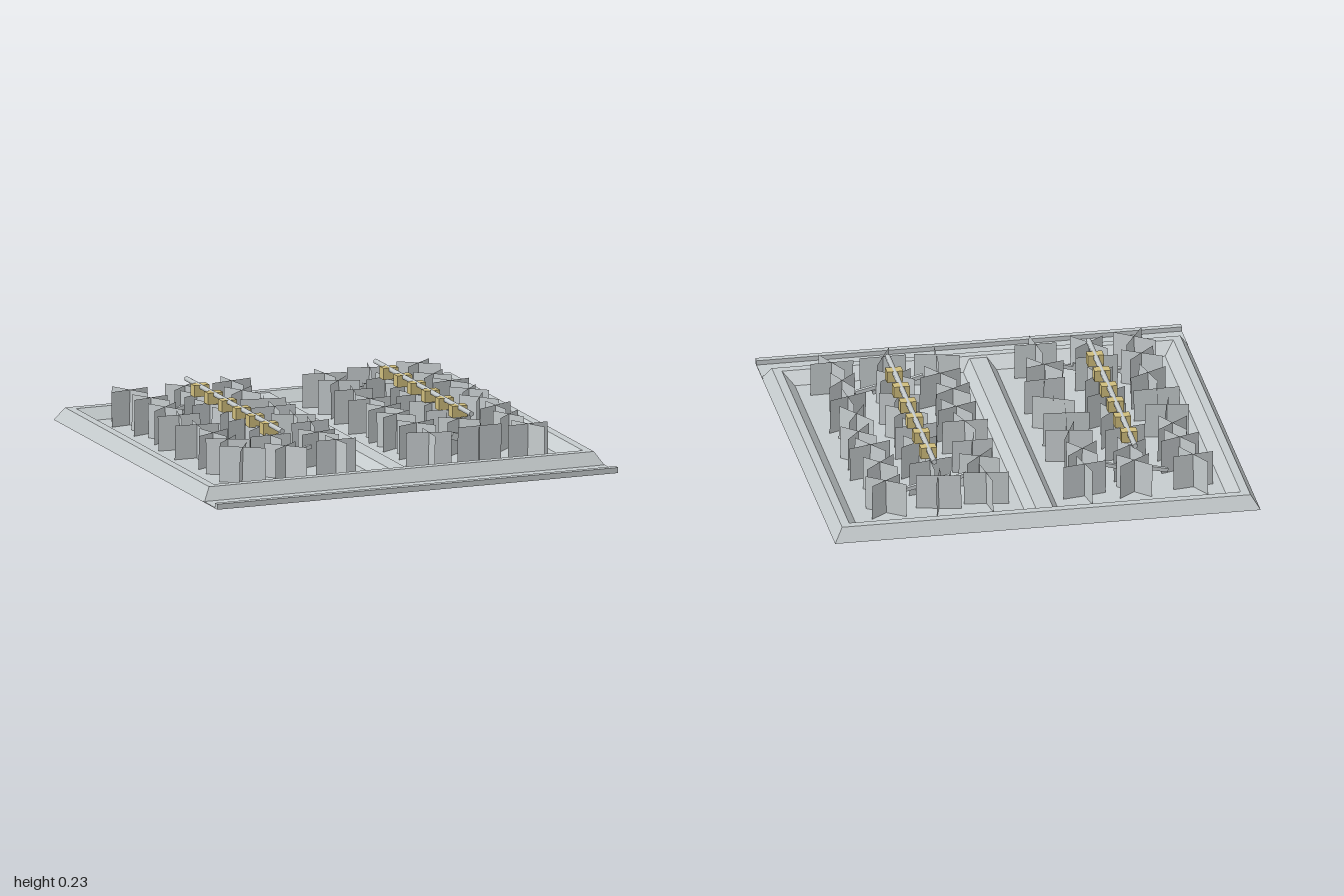
import * as THREE from 'three';

const stone = new THREE.MeshStandardMaterial({ color: 0xc6ccce });
stone.name = 'paleGrey';
const foliage = new THREE.MeshStandardMaterial({ color: 0xc6ccce, side: THREE.DoubleSide });
foliage.name = 'foliageGrey';
const straw = new THREE.MeshStandardMaterial({ color: 0xcfbd7c });
straw.name = 'straw';

// Joins rectangular rings [x0, x1, z0, z1, y] into a closed flat-faced solid
function ringSolid(rings) {
  const loops = rings.map(([x0, x1, z0, z1, y]) =>
    [[x0, y, z1], [x1, y, z1], [x1, y, z0], [x0, y, z0]]);
  const pos = [];
  const quad = (a, b, c, d) => pos.push(...a, ...b, ...c, ...a, ...c, ...d);
  for (let r = 0; r < loops.length - 1; r++) {
    const lo = loops[r], hi = loops[r + 1];
    for (let i = 0; i < 4; i++) {
      const j = (i + 1) % 4;
      quad(lo[i], lo[j], hi[j], hi[i]);
    }
  }
  quad(...loops[loops.length - 1]);
  quad(...loops[0].slice().reverse());
  const geo = new THREE.BufferGeometry();
  geo.setAttribute('position', new THREE.Float32BufferAttribute(pos, 3));
  geo.computeVertexNormals();
  return geo;
}

function add(parent, name, geo, material, x = 0, y = 0, z = 0) {
  const mesh = new THREE.Mesh(geo, material);
  mesh.name = name;
  mesh.position.set(x, y, z);
  parent.add(mesh);
  return mesh;
}

function seeded(seed) {
  return () => {
    seed = (seed * 16807) % 2147483647;
    return seed / 2147483647;
  };
}

// Square bar running between two points
function bar(parent, name, from, to, size) {
  const a = new THREE.Vector3(...from), b = new THREE.Vector3(...to);
  const mesh = add(parent, name, new THREE.BoxGeometry(size, size, a.distanceTo(b)), stone);
  mesh.position.copy(a).add(b).multiplyScalar(0.5);
  mesh.lookAt(b);
  return mesh;
}

export function createModel() {
  const model = new THREE.Group();
  model.name = 'plantingBeds';
  const rand = seeded(4711);

  // Sloped tray with a sunken floor
  add(model, 'tray', ringSolid([
    [-1, 1, -1, 0.84, 0.03],
    [-0.96, 0.96, -0.96, 0.8, 0.093],
    [-0.92, 0.92, -0.92, 0.76, 0.093],
    [-0.87, 0.87, -0.87, 0.7, 0.042],
  ]), stone);

  // Ridge between the two beds
  add(model, 'divider', ringSolid([
    [-0.08, 0.08, -0.91, 0.745, 0.04],
    [-0.04, 0.04, -0.91, 0.745, 0.088],
  ]), stone);

  // Front path and kerb
  add(model, 'path', new THREE.BoxGeometry(2, 0.004, 0.17), stone, 0, 0.032, 0.905);
  add(model, 'kerb', new THREE.BoxGeometry(2, 0.026, 0.03), stone, 0, 0.043, 0.985);

  for (const side of [-1, 1]) {
    const bed = new THREE.Group();
    bed.name = side < 0 ? 'rightBed' : 'leftBed';
    bed.position.x = side * 0.472;
    model.add(bed);

    // Plants made of crossed upright sheets
    for (let col = -1; col <= 1; col++) {
      for (let row = 0; row < 8; row++) {
        const plant = new THREE.Group();
        plant.name = 'plant';
        plant.position.set(col * 0.245 + (rand() - 0.5) * 0.04, 0.036, -0.725 + row * 0.186 + (rand() - 0.5) * 0.03);
        plant.rotation.y = rand() * Math.PI;
        bed.add(plant);
        const height = 0.165 + rand() * 0.012;
        for (let k = 0; k < 2; k++) {
          const sheet = add(plant, 'leafSheet', new THREE.PlaneGeometry(0.19 + rand() * 0.03, height), foliage, 0, height / 2, 0);
          sheet.rotation.y = k * (1.1 + rand() * 0.8);
          sheet.rotation.x = (rand() - 0.5) * 0.06;
        }
      }
    }

    // Rail on two splayed trestles
    const rack = new THREE.Group();
    rack.name = 'rack';
    bed.add(rack);
    const rail = add(rack, 'rail', new THREE.CylinderGeometry(0.013, 0.013, 1.17, 6), stone, 0, 0.249, -0.085);
    rail.rotation.x = Math.PI / 2;
    for (const z of [-0.63, 0.46]) {
      for (const s of [-1, 1]) {
        bar(rack, 'trestleLeg', [s * 0.076, 0.006, z], [s * 0.004, 0.243, z], 0.018);
      }
    }

    // Straw blocks hanging from the rail
    for (let i = 0; i < 6; i++) {
      add(rack, 'strawBlock', new THREE.BoxGeometry(0.075, 0.055, 0.049), straw, 0, 0.231, -0.508 + i * 0.169);
    }
  }
  return model;
}
